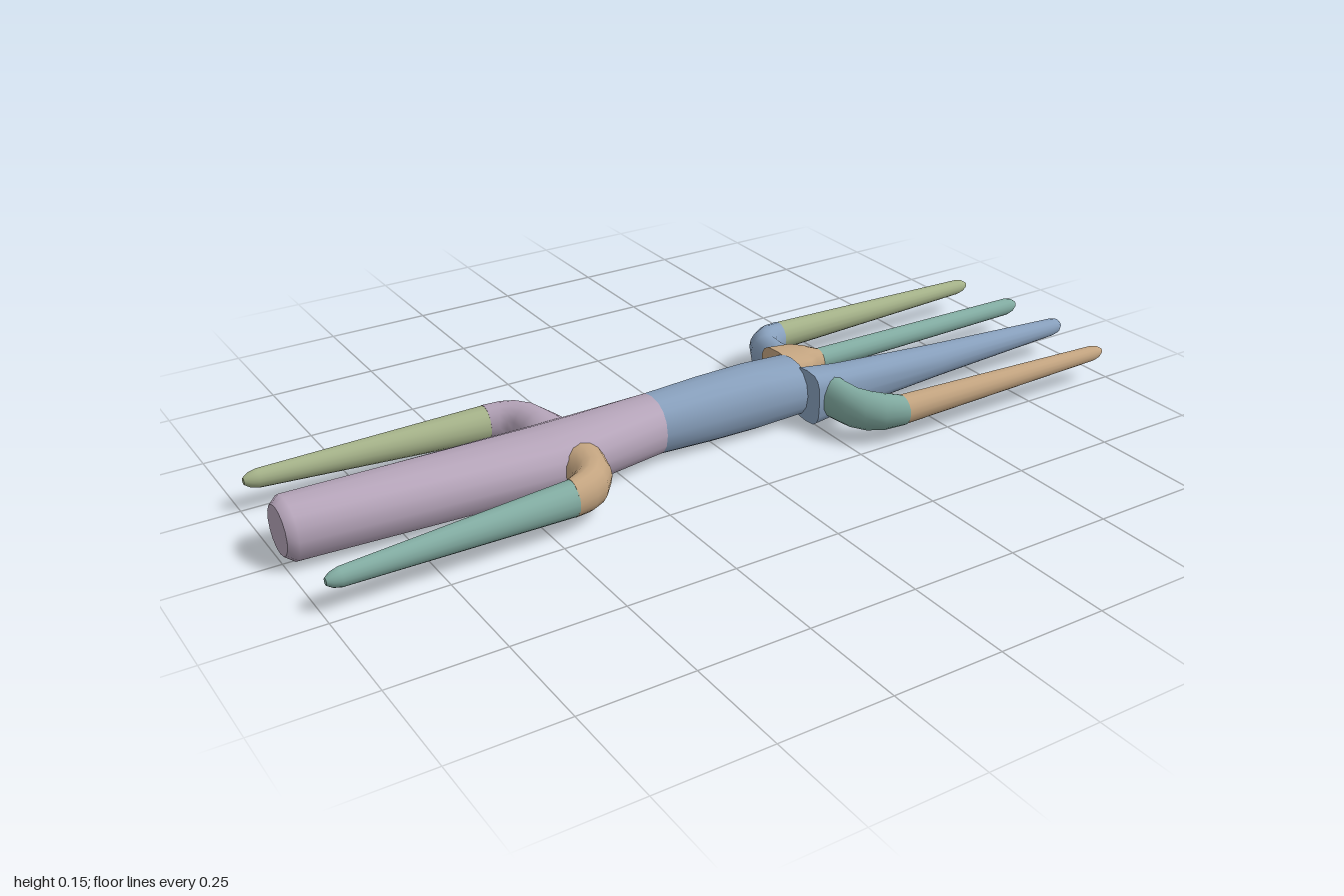
import * as THREE from 'three';

const MID = 0.075; // height of the common centre plane
const SIDES = 16;

const paint = (name, color) => new THREE.MeshStandardMaterial({ name, color });

// Section standing across the x axis: from zBack to zFront, half height ry, squareness p (1 = ellipse)
const across = (x, zBack, zFront, ry, p = 1) => [x, zBack, x, zFront, ry, p];

// Skins a row of upright sections [ax, az, bx, bz, half height, squareness] and caps both ends
function loft(sections) {
  const [s, e] = [sections[0], sections[1]];
  const tx = e[0] + e[2] - s[0] - s[2], tz = e[1] + e[3] - s[1] - s[3];
  const flip = tx * (s[3] - s[1]) - tz * (s[2] - s[0]) < 0;
  const pos = [], index = [];
  const soft = (v, p) => Math.sign(v) * Math.pow(Math.abs(v), p);
  const ring = ([ax, az, bx, bz, ry, p = 1]) => {
    const k = flip ? -0.5 : 0.5;
    for (let j = 0; j < SIDES; j++) {
      const t = (j / SIDES) * Math.PI * 2;
      const c = soft(Math.cos(t), p) * k, h = soft(Math.sin(t), p) * ry;
      pos.push((ax + bx) / 2 + (bx - ax) * c, MID + h, (az + bz) / 2 + (bz - az) * c);
    }
  };
  sections.forEach(ring);
  for (let i = 0; i < sections.length - 1; i++) {
    for (let j = 0; j < SIDES; j++) {
      const a = i * SIDES + j, b = i * SIDES + (j + 1) % SIDES;
      index.push(a, a + SIDES, b, b, a + SIDES, b + SIDES);
    }
  }
  // end caps with their own vertices, so the rims stay crisp
  [sections[0], sections[sections.length - 1]].forEach((sec, end) => {
    const base = pos.length / 3;
    ring(sec);
    for (let j = 1; j < SIDES - 1; j++) {
      if (end) index.push(base, base + j + 1, base + j);
      else index.push(base, base + j, base + j + 1);
    }
  });
  const g = new THREE.BufferGeometry();
  g.setAttribute('position', new THREE.Float32BufferAttribute(pos, 3));
  g.setIndex(index);
  g.computeVertexNormals();
  return g;
}

// Straight tapering prong with a small rounded tip; z0 and z1 are centre lines, [width, height] radii
function prong(x0, z0, w0, h0, x1, z1, w1, h1) {
  const d = Math.sign(x1 - x0);
  const at = (x, k = 1) => {
    const t = (x - x0) / (x1 - x0);
    const z = z0 + (z1 - z0) * t, w = (w0 + (w1 - w0) * t) * k, h = (h0 + (h1 - h0) * t) * k;
    return across(x, z - w, z + w, h);
  };
  return loft([at(x0), at((x0 + x1) / 2), at(x1 - d * 0.03), at(x1 - d * 0.012, 0.8), at(x1, 0.4)]);
}

export function createModel() {
  const model = new THREE.Group();
  model.name = 'branchingBody';
  const mauve = paint('mauve', 0xb6a5ba);
  const blue = paint('slateBlue', 0x88a0bd);
  const tan = paint('tan', 0xc3a480);
  const teal = paint('teal', 0x82aca2);
  const olive = paint('olive', 0xa5b289);
  const add = (name, geometry, material) => {
    const mesh = new THREE.Mesh(geometry, material);
    mesh.name = name;
    model.add(mesh);
  };

  // thick trunk and central body
  add('trunk', loft([
    across(-1, -0.06, 0.05, 0.054), across(-0.98, -0.075, 0.065, 0.068, 0.9),
    across(-0.7, -0.075, 0.085, 0.068, 0.9), across(-0.42, -0.078, 0.104, 0.067, 0.9),
    across(-0.32, -0.078, 0.1, 0.067, 0.9), across(-0.14, -0.073, 0.063, 0.068, 0.9),
  ]), mauve);
  add('centralBody', loft([
    across(-0.14, -0.073, 0.063, 0.068, 0.9), across(0, -0.077, 0.066, 0.074, 0.9),
    across(0.12, -0.08, 0.069, 0.075, 0.9), across(0.235, -0.083, 0.072, 0.068, 0.9),
  ]), blue);

  // hub and the two middle prongs
  add('hub', loft([
    across(0.23, -0.117, 0.018, 0.066, 0.55), across(0.29, -0.117, 0.012, 0.06, 0.6),
    across(0.33, -0.112, -0.025, 0.047, 0.8), across(0.37, -0.107, -0.053, 0.028),
  ]), tan);
  add('middleBackProng', prong(0.365, -0.08, 0.027, 0.028, 0.995, -0.084, 0.018, 0.021), teal);
  add('middleFrontProng', loft([
    across(0.23, 0.016, 0.117, 0.064, 0.6), across(0.32, 0.021, 0.115, 0.055, 0.75),
    across(0.6, 0.036, 0.108, 0.04), across(0.97, 0.056, 0.096, 0.022),
    across(0.99, 0.06, 0.092, 0.018), across(1, 0.068, 0.084, 0.009),
  ]), blue);

  // outer elbows on the branched end, mirrored front and back
  const outerElbow = (s, shift) => loft([
    [0.24, 0.08, 0.32, 0.08, 0.05], [0.243, 0.13, 0.318, 0.125, 0.048],
    [0.25, 0.185, 0.322, 0.16, 0.047], [0.275, 0.228, 0.333, 0.18, 0.046],
    [0.315, 0.256, 0.348, 0.195, 0.043], [0.37, 0.272, 0.37, 0.207, 0.036],
  ].map(([ax, az, bx, bz, h]) => [ax, s * (az + shift), bx, s * (bz + shift), h]));
  add('outerFrontElbow', outerElbow(1, 0), teal);
  add('outerBackElbow', outerElbow(-1, 0.006), blue);
  add('outerFrontProng', prong(0.368, 0.239, 0.032, 0.035, 0.975, 0.247, 0.016, 0.018), tan);
  add('outerBackProng', prong(0.368, -0.246, 0.031, 0.035, 0.975, -0.254, 0.016, 0.018), olive);

  // elbows and prongs beside the trunk, mirrored front and back
  const trunkElbow = (s, shift) => loft([
    [-0.3, 0.04, -0.42, 0.04, 0.05], [-0.315, 0.095, -0.413, 0.095, 0.05],
    [-0.332, 0.155, -0.415, 0.125, 0.05], [-0.365, 0.197, -0.422, 0.142, 0.049],
    [-0.4, 0.216, -0.433, 0.153, 0.047], [-0.45, 0.23, -0.45, 0.16, 0.042],
  ].map(([ax, az, bx, bz, h]) => [ax, s * (az + shift), bx, s * (bz + shift), h]));
  add('trunkFrontElbow', trunkElbow(1, 0), tan);
  add('trunkBackElbow', trunkElbow(-1, 0.012), mauve);
  add('trunkFrontProng', prong(-0.448, 0.195, 0.035, 0.041, -0.99, 0.224, 0.018, 0.02), teal);
  add('trunkBackProng', prong(-0.448, -0.207, 0.035, 0.041, -0.99, -0.236, 0.018, 0.02), olive);

  return model;
}
